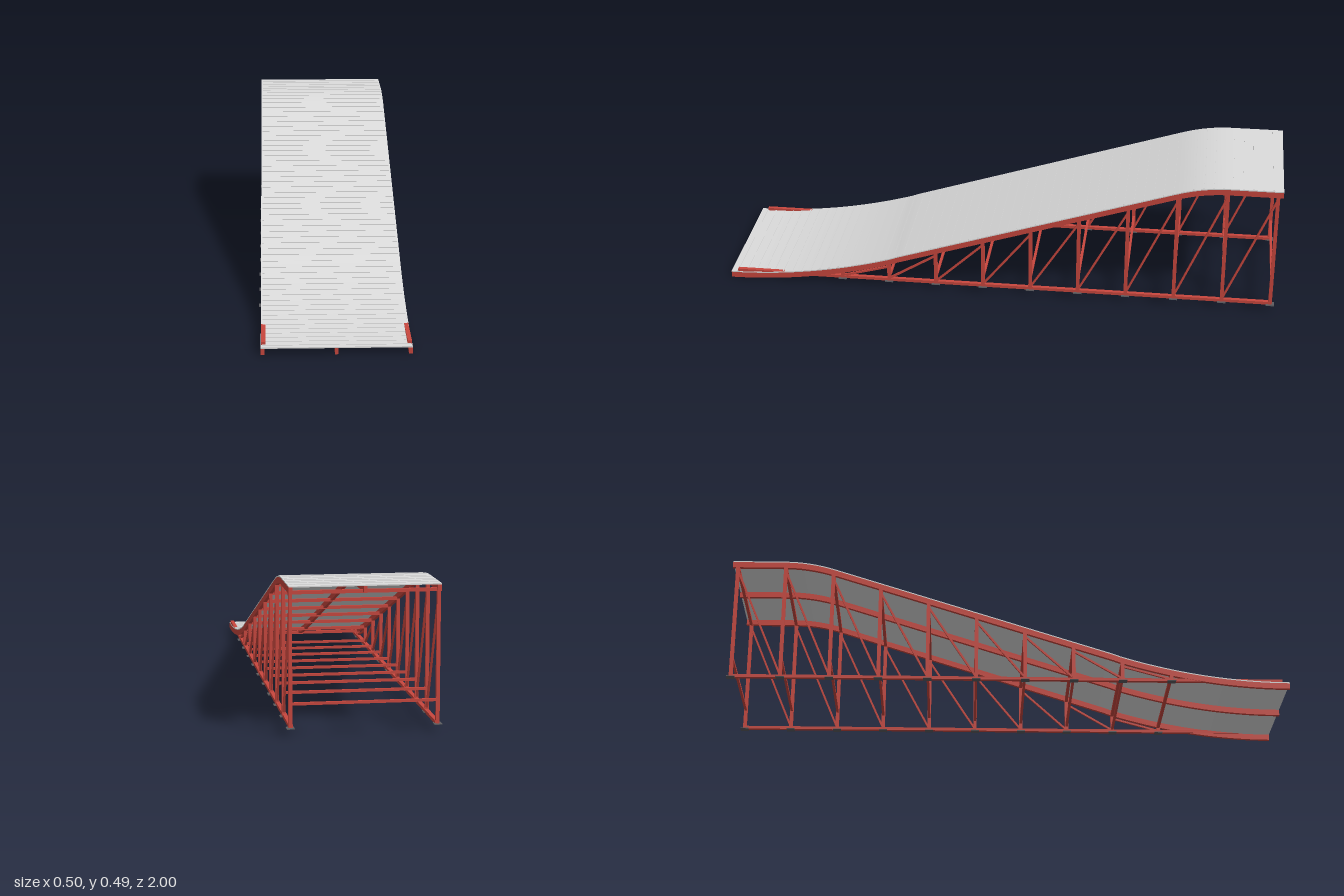
import * as THREE from 'three';
import { toCreasedNormals } from 'three/addons/utils/BufferGeometryUtils.js';

const steel = new THREE.MeshStandardMaterial({ color: 0xdcdcdc });
steel.name = 'steel grey';
const red = new THREE.MeshStandardMaterial({ color: 0xc9473e });
red.name = 'painted red';
const dark = new THREE.MeshStandardMaterial({ color: 0x5c5c60 });
dark.name = 'dark grey';

// Height of the running surface: flat, parabolic run-in, straight slope, rounded crest, flat
const SLOPE = 0.325, LOW = 0.025, HIGH = 0.485;
const TOE = [1, 0.38], CREST = [-0.63, -0.81];
function surface(z) {
  if (z > TOE[1]) return LOW + SLOPE * (TOE[0] - z) ** 2 / (2 * (TOE[0] - TOE[1]));
  if (z > CREST[0]) return HIGH - SLOPE * (CREST[0] - CREST[1]) / 2 - SLOPE * (z - CREST[0]);
  if (z > CREST[1]) return HIGH - SLOPE * (z - CREST[1]) ** 2 / (2 * (CREST[0] - CREST[1]));
  return HIGH;
}

// Beam following the surface, between two depths below it
function curvedBeam(name, x, width, top, bottom, material) {
  const n = 80, pts = [];
  for (let i = 0; i <= n; i++) {
    const z = -1 + 2 * i / n;
    pts.push(new THREE.Vector2(z, surface(z) - bottom));
  }
  for (let i = n; i >= 0; i--) {
    const z = -1 + 2 * i / n;
    pts.push(new THREE.Vector2(z, surface(z) - top));
  }
  const geo = new THREE.ExtrudeGeometry(new THREE.Shape(pts), { depth: width, bevelEnabled: false });
  geo.translate(0, 0, -width / 2).rotateY(-Math.PI / 2);
  const mesh = new THREE.Mesh(toCreasedNormals(geo, 0.5), material);
  mesh.position.x = x;
  mesh.name = name;
  return mesh;
}

function box(name, w, h, d, x, y, z, material) {
  const mesh = new THREE.Mesh(new THREE.BoxGeometry(w, h, d), material);
  mesh.position.set(x, y, z);
  mesh.name = name;
  return mesh;
}

// Square bar between two points in a side plane
function sideBar(name, x, y0, z0, y1, z1, size, material) {
  const bar = box(name, size, size, Math.hypot(y1 - y0, z1 - z0), x, (y0 + y1) / 2, (z0 + z1) / 2, material);
  bar.rotation.x = Math.atan2(-(y1 - y0), z1 - z0);
  return bar;
}

export function createModel() {
  const ramp = new THREE.Group();
  ramp.name = 'ramp';

  // Deck plate and the three stringers beneath it
  ramp.add(curvedBeam('deck', 0, 0.49, 0, 0.004, steel));
  for (const x of [-0.239, 0, 0.239]) ramp.add(curvedBeam('stringer', x, 0.012, 0.004, 0.025, red));

  // Low grip ribs across the deck, in the deck's own steel
  const ribs = new THREE.Group();
  ribs.name = 'gripRibs';
  for (let z = -0.965; z < 0.98; z += 0.0347) {
    const rib = box('gripRib', 0.48, 0.003, 0.004, 0, surface(z), z, steel);
    rib.rotation.x = -Math.atan2(surface(z + 0.005) - surface(z - 0.005), 0.01);
    ribs.add(rib);
  }
  ramp.add(ribs);

  // Side trusses: bottom chord, posts, diagonals and foot plates
  const FIRST = 0.58, BAY = 0.1735, BAYS = 9, BASE = 0.03;
  for (const side of [-1, 1]) {
    const x = side * 0.239;
    const truss = new THREE.Group();
    truss.name = side > 0 ? 'leftTruss' : 'rightTruss';
    truss.add(box('bottomChord', 0.014, 0.011, 1.96, side * 0.237, BASE, -0.005, red));
    for (let i = 0; i <= BAYS; i++) {
      const z = FIRST - i * BAY, top = surface(z) - 0.02;
      truss.add(box('post', 0.012, top - 0.026, 0.013, x, (top + 0.026) / 2, z, red));
      truss.add(box('footPlate', 0.026, 0.003, 0.03, x, 0.025, Math.max(z, -0.983), dark));
      if (i > 0) truss.add(sideBar('diagonal', x, BASE + 0.004, z + BAY, top - 0.015, z, 0.007, red));
    }
    ramp.add(truss);
  }

  // Cross members joining the two trusses
  for (let i = 0; i <= BAYS; i++) {
    const z = FIRST - i * BAY, top = surface(z) - 0.022;
    ramp.add(box('upperCrossBeam', 0.47, 0.011, 0.011, 0, top, z, red));
    if (i > 0) ramp.add(box('lowerCrossBeam', 0.47, 0.009, 0.009, 0, BASE + (top - BASE) * 0.17, z, red));
  }
  return ramp;
}
